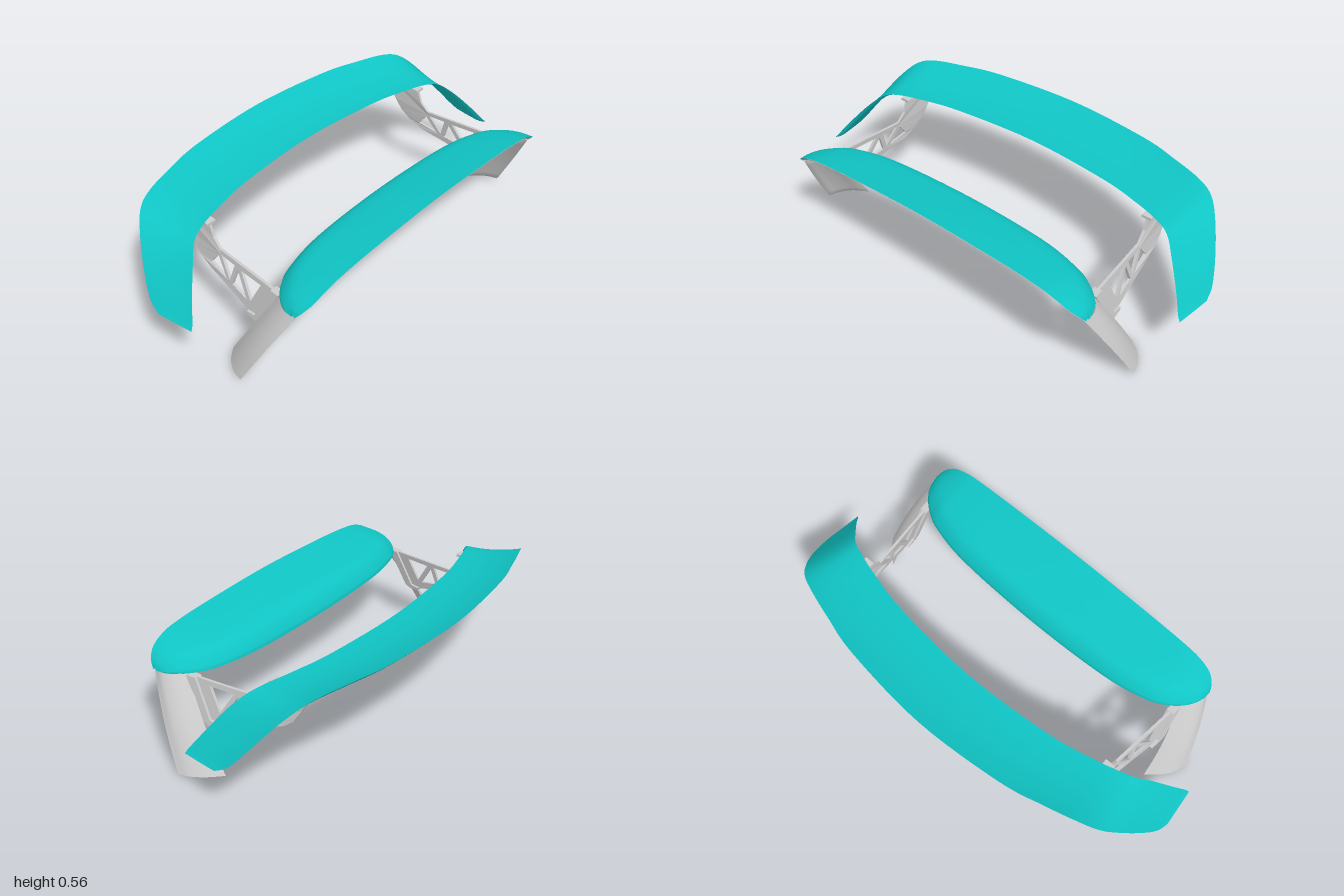
import * as THREE from 'three';

const V = (x, y, z) => new THREE.Vector3(x, y, z);
const material = (color) => new THREE.MeshStandardMaterial({ color, side: THREE.DoubleSide });
const teal = material(0x10c4c4);
const grey = material(0xcccccc);

// Smooth rail from the right tip to the left tip, given its half for x >= 0
function rail(half, n) {
  const left = half.map((p) => V(...p));
  const right = left.slice(1).reverse().map((p) => V(-p.x, p.y, p.z));
  const curve = new THREE.CatmullRomCurve3([...right, ...left], false, 'catmullrom', 0.5);
  return curve.getPoints(n);
}

// Surface through rows of points
function loft(rows) {
  const m = rows[0].length, index = [];
  for (let i = 0; i < rows.length - 1; i++)
    for (let j = 0; j < m - 1; j++) {
      const a = i * m + j, b = a + m;
      index.push(a, b, a + 1, b, b + 1, a + 1);
    }
  const g = new THREE.BufferGeometry().setFromPoints(rows.flat());
  g.setIndex(index);
  g.computeVertexNormals();
  return g;
}

// Surface plus an inner skin that meets it at the rim
function shell(name, rows, thickness, mat) {
  const group = new THREE.Group();
  group.name = name;
  const outer = loft(rows), normal = outer.attributes.normal;
  const m = rows[0].length, last = rows.length - 1;
  const inner = rows.map((row, i) => row.map((p, j) => {
    const edge = Math.min(1, 6 * Math.min(j / (m - 1), 1 - j / (m - 1), i / last * 4, (1 - i / last) * 4));
    const n = V(0, 0, 0).fromBufferAttribute(normal, i * m + j);
    return p.clone().addScaledVector(n, -thickness * Math.sqrt(Math.max(0, edge)));
  }).reverse());
  [['OuterSkin', outer], ['InnerSkin', loft(inner)]].forEach(([part, g]) => {
    const mesh = new THREE.Mesh(g, mat);
    mesh.name = name + part;
    group.add(mesh);
  });
  return group;
}

// Rear wing: concave section between the front and back rails
function wing() {
  const front = rail([[0, 0.508, -0.208], [0.4, 0.506, -0.18], [0.6, 0.503, -0.14], [0.72, 0.498, -0.105],
    [0.79, 0.48, -0.075], [0.85, 0.425, -0.025], [0.92, 0.335, 0.035], [0.965, 0.268, 0.078], [0.982, 0.246, 0.088]], 96);
  const back = rail([[0, 0.567, -0.503], [0.4, 0.566, -0.47], [0.6, 0.562, -0.422], [0.74, 0.555, -0.38],
    [0.82, 0.53, -0.345], [0.88, 0.47, -0.29], [0.94, 0.375, -0.215], [0.985, 0.285, -0.14], [1.0, 0.25, -0.08]], 96);
  const rows = front.map((f, i) => {
    const row = [];
    for (let j = 0; j <= 16; j++) {
      const t = j / 16, p = f.clone().lerp(back[i], t);
      p.y = f.y + (back[i].y - f.y) * Math.pow(t, 2);
      row.push(p);
    }
    return row;
  });
  return shell('rearWing', rows, 0.014, teal);
}

// Roof panel with a turned-down rear lip, and the lining along its front edge
function roof() {
  const group = new THREE.Group();
  group.name = 'roof';
  const front = rail([[0, 0.525, 0.5], [0.4, 0.513, 0.5], [0.6, 0.497, 0.5], [0.68, 0.478, 0.497],
    [0.735, 0.45, 0.488], [0.77, 0.418, 0.465], [0.785, 0.39, 0.44]], 72);
  const rim = rail([[0, 0.467, 0.235], [0.4, 0.463, 0.25], [0.6, 0.455, 0.29], [0.68, 0.445, 0.33],
    [0.735, 0.43, 0.365], [0.77, 0.41, 0.40], [0.784, 0.389, 0.425]], 72);
  const lip = rail([[0, 0.388, 0.185], [0.4, 0.388, 0.2], [0.6, 0.388, 0.238], [0.68, 0.388, 0.275],
    [0.735, 0.388, 0.32], [0.77, 0.388, 0.37], [0.783, 0.388, 0.41]], 72);
  const rows = front.map((f, i) => {
    const r = rim[i], l = lip[i];
    const crown = f.clone().lerp(r, 0.55);
    crown.y += 0.006;
    const bulge = r.clone().lerp(l, 0.75);
    bulge.z -= 0.008;
    return new THREE.CatmullRomCurve3([f, crown, r, bulge, l]).getPoints(20);
  });
  group.add(shell('roofPanel', rows, 0.006, teal));

  const inner = rail([[0, 0.47, 0.38], [0.4, 0.46, 0.38], [0.5, 0.447, 0.38], [0.58, 0.405, 0.38],
    [0.68, 0.39, 0.385], [0.75, 0.389, 0.40], [0.783, 0.388, 0.43]], 72);
  const lining = new THREE.Mesh(loft(inner.map((p, i) => {
    const f = front[i].clone();
    f.y -= 0.002;
    return [p, p.clone().lerp(f, 0.5), f];
  })), grey);
  lining.name = 'roofLining';
  group.add(lining);
  return group;
}

// Curved window pillar sweeping down and back from the roof corner
function pillar(side, name) {
  const section = (pts) => new THREE.CatmullRomCurve3(pts.map((p) => V(...p))).getPoints(14);
  const top = section([[0.775, 0.39, 0.443], [0.783, 0.39, 0.4], [0.765, 0.39, 0.352], [0.72, 0.39, 0.31]]);
  const foot = section([[0.893, 0.02, 0.24], [0.878, 0.02, 0.19], [0.84, 0.018, 0.135], [0.78, 0.01, 0.085]]);
  const rows = [];
  for (let i = 0; i <= 16; i++) {
    const t = i / 16;
    rows.push(top.map((p, j) => {
      const q = p.clone().lerp(foot[j], t);
      q.x = side * (q.x + 0.012 * Math.sin(Math.PI * t));
      return q;
    }));
  }
  if (side < 0) rows.reverse();
  return shell(name, rows, 0.01, grey);
}

// Upright plate drawn in (z, y), with its x following the lean of the bracket
function plate(name, side, outline, holes, thickness) {
  const points = (list) => list.map((p) => new THREE.Vector2(...p));
  const shape = new THREE.Shape(points(outline));
  holes.forEach((h) => shape.holes.push(new THREE.Path(points(h))));
  const g = new THREE.ExtrudeGeometry(shape, { depth: thickness, bevelEnabled: false });
  const pos = g.attributes.position, moved = [];
  for (let i = 0; i < pos.count; i++) {
    const k = side > 0 ? i - (i % 3) + 2 - (i % 3) : i;
    const z = pos.getX(k), y = pos.getY(k);
    const lean = 0.675 + 0.1 * Math.max(0, z + 0.1) + 0.15 * Math.max(0, 0.39 - y);
    moved.push(V(side * (lean + pos.getZ(k) - thickness / 2), y, z));
  }
  const out = new THREE.BufferGeometry().setFromPoints(moved);
  out.computeVertexNormals();
  const mesh = new THREE.Mesh(out, grey);
  mesh.name = name;
  return mesh;
}

// Truss bracket carrying the wing: foot, pierced arm and pad
function bracket(side, name) {
  const group = new THREE.Group();
  group.name = name;
  const arm = [[0.3, 0.385], [0.22, 0.215], [0.14, 0.213], [0.04, 0.243], [-0.09, 0.275], [-0.16, 0.31],
    [-0.205, 0.345], [-0.24, 0.4], [-0.3, 0.507], [-0.11, 0.49], [-0.09, 0.43], [-0.05, 0.39]];
  const holes = [
    [[0.2, 0.365], [0.082, 0.365], [0.147, 0.26]],
    [[0.125, 0.255], [0.062, 0.358], [0.035, 0.275]],
    [[0.042, 0.368], [-0.04, 0.37], [0.018, 0.285]],
    [[-0.002, 0.283], [-0.058, 0.362], [-0.1, 0.308]],
  ];
  group.add(plate('trussArm', side, arm, holes, 0.012));
  group.add(plate('bracketFoot', side, [[0.31, 0.387], [0.265, 0.387], [0.185, 0.222], [0.14, 0.218], [0.145, 0.206], [0.19, 0.2], [0.22, 0.212]], [], 0.035));
  group.add(plate('wingPad', side, [[-0.1, 0.484], [-0.3, 0.5], [-0.305, 0.512], [-0.1, 0.496]], [], 0.045));
  return group;
}

export function createModel() {
  const model = new THREE.Group();
  model.name = 'wingAssembly';
  model.add(wing(), roof());
  [[1, 'left'], [-1, 'right']].forEach(([side, label]) => {
    model.add(pillar(side, label + 'Pillar'), bracket(side, label + 'Bracket'));
  });
  return model;
}
